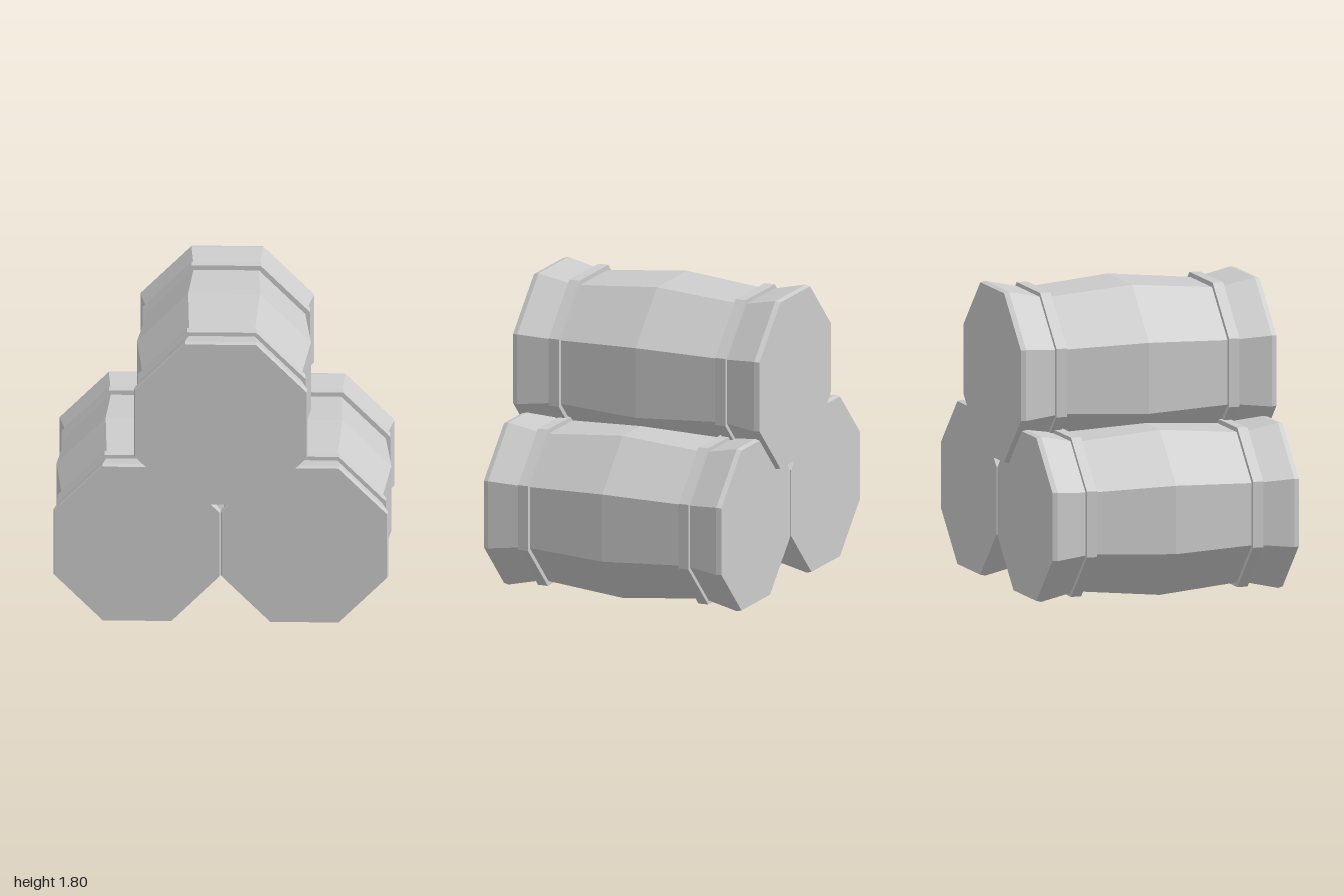
import * as THREE from 'three';

const material = new THREE.MeshStandardMaterial({ color: 0xcccccc, flatShading: true });
const SIDES = 8;

// Octagonal solid along z; profile is [distance from axis to flat, z], back to front
function octagonal(profile, name) {
  const points = profile.map(([r, z]) => new THREE.Vector2(r / Math.cos(Math.PI / SIDES), z));
  const geometry = new THREE.LatheGeometry(points, SIDES, Math.PI / SIDES);
  geometry.rotateX(Math.PI / 2);
  const mesh = new THREE.Mesh(geometry, material);
  mesh.name = name;
  return mesh;
}

function createBarrel(name) {
  const barrel = new THREE.Group();
  barrel.name = name;

  // Bulging body with flared, slightly chamfered ends
  const half = [[0.5, 0], [0.452, 0.525], [0.5, 0.75], [0.493, 0.78], [0, 0.78]];
  const back = half.slice(1).reverse().map(([r, z]) => [r, -z]);
  barrel.add(octagonal([...back, ...half], 'barrelBody'));

  // Hoops seated in the two waists
  for (const side of [-1, 1]) {
    const hoop = octagonal(
      [[0.44, -0.032], [0.482, -0.032], [0.482, 0.032], [0.44, 0.032]],
      side > 0 ? 'frontHoop' : 'backHoop'
    );
    hoop.position.z = side * 0.527;
    barrel.add(hoop);
  }
  return barrel;
}

export function createModel() {
  const model = new THREE.Group();
  model.name = 'barrelStack';

  // Two barrels side by side, a slightly larger one on top
  const layout = [
    ['leftBarrel', 0.5, 0.507, 1],
    ['rightBarrel', -0.5, 0.507, 1],
    ['topBarrel', 0, 1.288, 1.038],
  ];
  for (const [name, x, y, scale] of layout) {
    const barrel = createBarrel(name);
    barrel.position.set(x, y, 0);
    barrel.scale.setScalar(scale);
    model.add(barrel);
  }
  return model;
}
